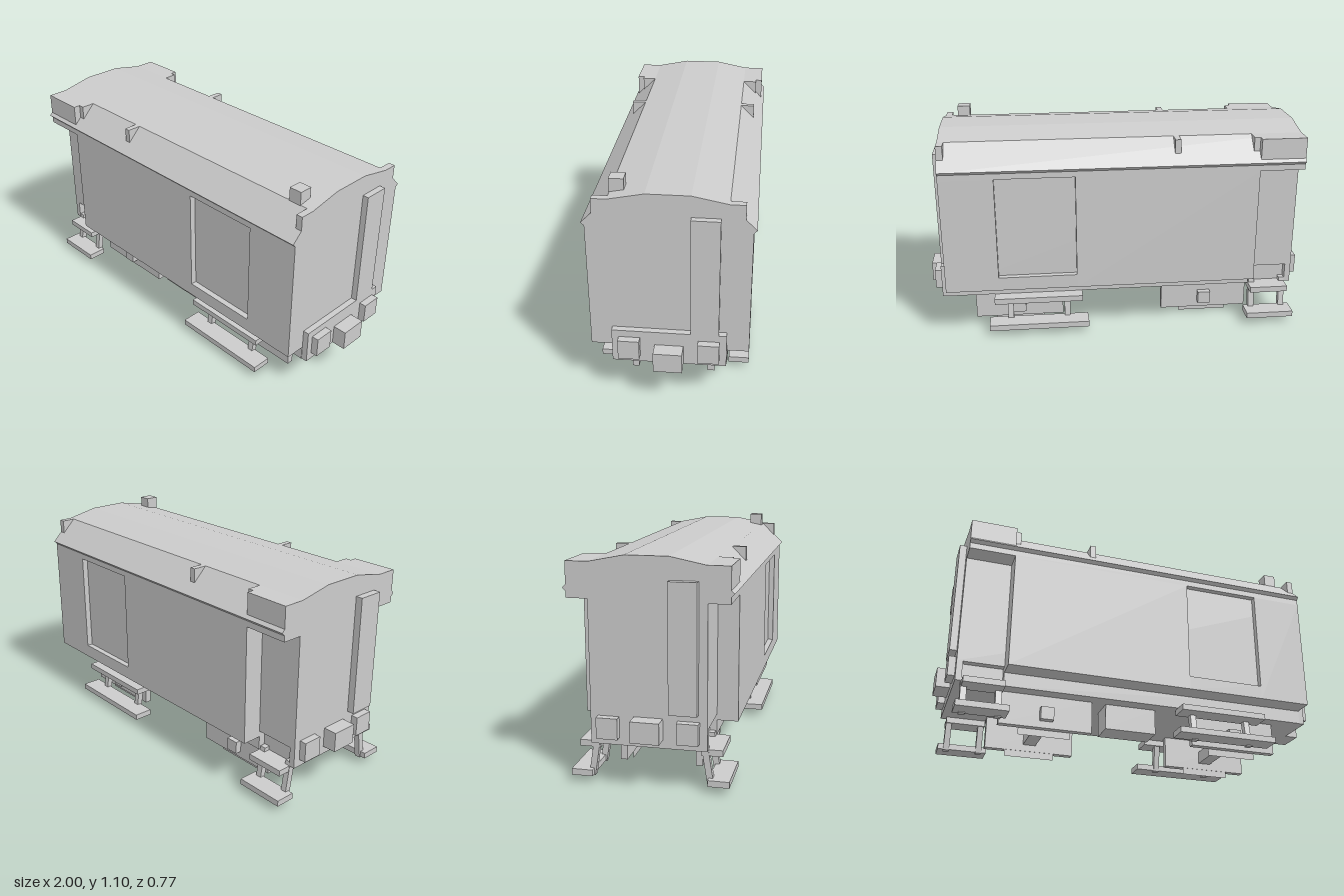
import * as THREE from 'three';

const material = new THREE.MeshStandardMaterial({ color: 0xcccccc, flatShading: true });
const thinMaterial = new THREE.MeshStandardMaterial({ color: 0xcccccc, side: THREE.DoubleSide });

export function createModel() {
  const root = new THREE.Group();

  function add(name, geometry, mat = material) {
    const mesh = new THREE.Mesh(geometry, mat);
    mesh.name = name;
    root.add(mesh);
    return mesh;
  }

  // Box given by its extents
  function box(name, x0, x1, y0, y1, z0, z1) {
    const g = new THREE.BoxGeometry(x1 - x0, y1 - y0, z1 - z0);
    return add(name, g.translate((x0 + x1) / 2, (y0 + y1) / 2, (z0 + z1) / 2));
  }

  // Box on one side of the car; s is +1 or -1
  function sideBox(name, s, x0, x1, y0, y1, z0, z1) {
    return box(name, x0, x1, y0, y1, Math.min(s * z0, s * z1), Math.max(s * z0, s * z1));
  }

  // Prism along x from a cross-section of [z, y] points
  function prism(name, points, x0, x1) {
    const shape = new THREE.Shape(points.map(([z, y]) => new THREE.Vector2(-z, y)));
    const g = new THREE.ExtrudeGeometry(shape, { depth: x1 - x0, bevelEnabled: false });
    return add(name, g.rotateY(Math.PI / 2).translate(x0, 0, 0));
  }

  // Core of the body, narrow at the step wells and entrance recess
  box('bodyCore', -0.93, 0.90, 0.30, 0.88, -0.27, 0.27);
  box('floor', -0.70, 0.90, 0.20, 0.30, -0.27, 0.27);
  box('stepWellCore', -0.90, -0.70, 0.20, 0.30, -0.235, 0.235);
  box('endSill', -0.93, -0.90, 0.20, 0.30, -0.27, 0.27);

  // Roof with overhanging eaves
  const half = [[0.37, 0.87], [0.37, 0.90], [0.385, 0.915], [0.265, 1.035], [0.10, 1.068]];
  const mirrored = half.map(([z, y]) => [-z, y]).reverse();
  prism('roof', [...half, ...mirrored], -0.93, 0.90);
  box('chimney', 0.765, 0.83, 1.02, 1.10, 0.20, 0.267);

  for (const s of [1, -1]) {
    // Side wall with recessed sliding door
    sideBox('slidingDoor', s, -0.70, 0.90, 0.27, 0.87, 0.26, 0.34);
    sideBox('wallPanel', s, -0.70, 0.23, 0.27, 0.87, 0.34, 0.37);
    sideBox('wallPanel', s, 0.63, 0.90, 0.27, 0.87, 0.34, 0.37);
    sideBox('doorSill', s, 0.23, 0.63, 0.27, 0.34, 0.34, 0.37);

    // Eave brackets and the box above the entrance
    for (const [x0, x1] of [[-0.70, -0.67], [-0.30, -0.27], [0.867, 0.90]]) {
      prism('roofBracket', [[s * 0.265, 1.035], [s * 0.335, 1.035], [s * 0.335, 0.965]], x0, x1);
    }
    prism('entranceRoofBox', [[s * 0.265, 1.035], [s * 0.37, 1.035], [s * 0.37, 0.93]], -0.93, -0.70);

    // Steps with slanted hangers
    const steps = [
      { upper: [-0.90, -0.70], lower: [-0.93, -0.68], hangers: [-0.887, -0.72], top: 0.22 },
      { upper: [0.20, 0.66], lower: [0.17, 0.69], hangers: [0.28, 0.58], top: 0.22 },
    ];
    for (const { upper, lower, hangers, top } of steps) {
      sideBox('upperStep', s, ...upper, 0.17, 0.20, 0.235, 0.335);
      sideBox('lowerStep', s, ...lower, 0.035, 0.065, 0.27, 0.37);
      for (const x of hangers) {
        prism('stepHanger', [[s * 0.235, top], [s * 0.265, top],
          [s * 0.295, 0.03], [s * 0.265, 0.03]], x - 0.015, x + 0.015);
      }
    }

    // Wheel set frames with wheel plates showing below
    for (const x of [-0.47, 0.533]) {
      sideBox('wheelFrame', s, x - 0.2325, x + 0.2325, 0.035, 0.20, 0.17, 0.203);
      const plate = new THREE.PlaneGeometry(0.26, 0.035);
      add('wheelPlate', plate.translate(x, 0.0175, s * 0.172), thinMaterial);
    }

    // Buffers at both ends
    sideBox('buffer', s, 0.93, 0.965, 0.235, 0.335, 0.135, 0.235);
    sideBox('buffer', s, -0.965, -0.93, 0.235, 0.335, 0.135, 0.235);
  }

  // Axles and the underfloor equipment box
  for (const x of [-0.47, 0.533]) box('axle', x - 0.033, x + 0.033, 0.07, 0.135, -0.235, 0.235);
  box('equipmentBox', -0.165, 0.10, 0.07, 0.20, 0.07, 0.20);

  // End doors, headstock and couplers
  box('endDoor', 0.90, 0.93, 0.37, 0.965, -0.23, -0.10);
  box('endDoor', -0.965, -0.93, 0.37, 0.965, 0.10, 0.23);
  box('headstock', 0.90, 0.93, 0.20, 0.37, -0.267, 0.267);
  box('coupler', 0.93, 1.0, 0.20, 0.30, -0.067, 0.067);
  box('coupler', -1.0, -0.93, 0.24, 0.34, -0.067, 0.067);

  return root;
}
